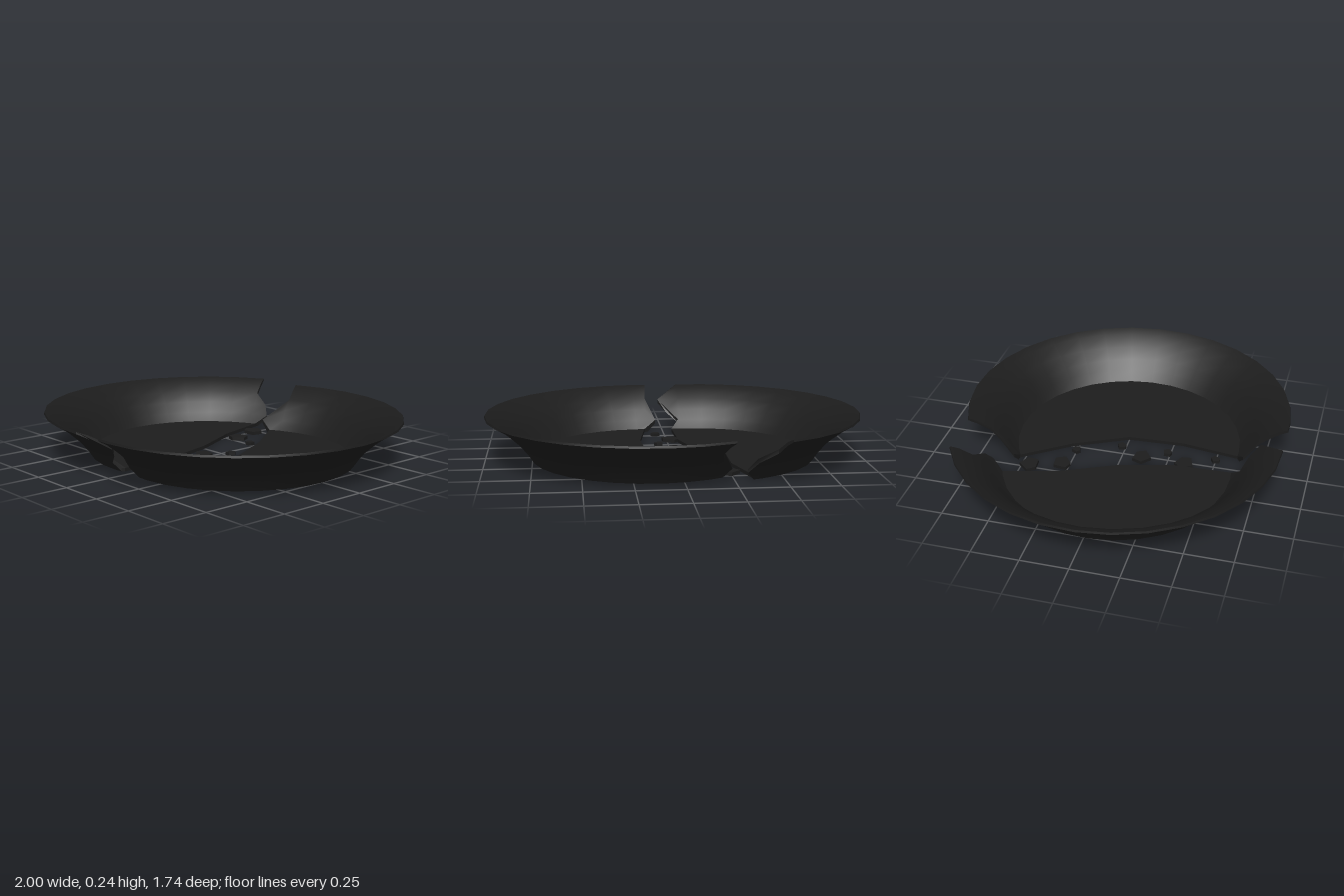
import * as THREE from 'three';
import { toCreasedNormals } from 'three/addons/utils/BufferGeometryUtils.js';

const STEP = Math.PI / 16;          // 32-sided plate
const OFFSET = -0.037;              // slight turn of the facets
const THICK = 0.018;
const BASE_R = 0.625;

// Closed wall section (radius, height): up the outside, down the inside
const WALL = [
  [0.625, 0], [0.655, 0.045], [0.70, 0.1], [0.755, 0.15], [0.82, 0.2], [0.871, 0.229], [0.868, 0.24],
  [0.825, 0.222], [0.755, 0.172], [0.695, 0.12], [0.655, 0.065], [0.61, THICK],
];

// Broken edges as [x, z] about each half's own centre.
// back and front cross the wall from base to rim, floor crosses the base from back to front.
const HALVES = [
  {
    name: 'rightHalf', x: -0.13, left: true,
    back: [[-0.22, -0.58], [-0.17, -0.64], [-0.32, -0.68], [-0.37, -0.78]],
    floor: [[-0.22, -0.58], [-0.14, -0.28], [-0.01, 0], [0.07, 0.3], [0.08, 0.61]],
    front: [[0.08, 0.61], [0.03, 0.65], [0.17, 0.72], [0.11, 0.78], [0.03, 0.85]],
  },
  {
    name: 'leftHalf', x: 0.13, left: false,
    back: [[-0.31, -0.53], [-0.38, -0.53], [-0.33, -0.6], [-0.31, -0.69], [-0.36, -0.79]],
    floor: [[-0.31, -0.53], [-0.13, -0.28], [0.01, 0], [0.025, 0.3], [-0.02, 0.61]],
    front: [[-0.02, 0.61], [-0.09, 0.65], [-0.03, 0.69], [-0.04, 0.85]],
  },
];

// Angle of a broken edge at radius r
function edgeAngle(points, r, left) {
  const polar = points.map(([x, z]) => {
    const a = Math.atan2(z, x);
    return [Math.hypot(x, z), left && a < 0 ? a + 2 * Math.PI : a];
  });
  if (r <= polar[0][0]) return polar[0][1];
  for (let i = 1; i < polar.length; i++) {
    const [r0, a0] = polar[i - 1], [r1, a1] = polar[i];
    if (r <= r1) return a0 + (a1 - a0) * (r - r0) / (r1 - r0);
  }
  return polar[polar.length - 1][1];
}

// Facet angles at radius r, clamped between the two broken edges
function ringAngles(half, r) {
  const a = edgeAngle(half.back, r, half.left), b = edgeAngle(half.front, r, half.left);
  const lo = Math.min(a, b), hi = Math.max(a, b);
  const angles = [lo];
  for (let k = -12; k <= 24; k++) angles.push(THREE.MathUtils.clamp(k * STEP + OFFSET, lo, hi));
  angles.push(hi);
  return angles;
}

// Sloping wall with capped ends
function wallGeometry(half) {
  const positions = [], index = [];
  const n = WALL.length;
  let cols = 0;
  for (const [r, y] of WALL) {
    const angles = ringAngles(half, r);
    cols = angles.length;
    for (const a of angles) positions.push(r * Math.cos(a), y, r * Math.sin(a));
  }
  for (let i = 0; i < n; i++) {
    const k = (i + 1) % n;
    for (let j = 0; j < cols - 1; j++) {
      const a = i * cols + j, b = k * cols + j;
      index.push(a, b, a + 1, b, b + 1, a + 1);
    }
  }
  const section = WALL.map(([r, y]) => new THREE.Vector2(r, y));
  for (const [a, b, c] of THREE.ShapeUtils.triangulateShape(section, [])) {
    index.push(a * cols, c * cols, b * cols);
    const e = cols - 1;
    index.push(a * cols + e, b * cols + e, c * cols + e);
  }
  const geo = new THREE.BufferGeometry();
  geo.setAttribute('position', new THREE.Float32BufferAttribute(positions, 3));
  geo.setIndex(index);
  return toCreasedNormals(geo, 0.7);
}

// Flat slab lying on the ground from an [x, z] outline
function slab(points, thickness) {
  const shape = new THREE.Shape(points.map(([x, z]) => new THREE.Vector2(x, z)));
  const geo = new THREE.ExtrudeGeometry(shape, { depth: thickness, bevelEnabled: false });
  return geo.rotateX(Math.PI / 2).translate(0, thickness, 0);
}

function floorGeometry(half) {
  let arc = ringAngles(half, BASE_R).filter((a, i, all) => i === 0 || a - all[i - 1] > 1e-5);
  if (!half.left) arc = arc.reverse();
  // the arc runs from the front end of the crack round to the back end
  const rim = arc.map((a) => [BASE_R * Math.cos(a), BASE_R * Math.sin(a)]);
  return slab([...half.floor, ...rim], THICK);
}

export function createModel() {
  const model = new THREE.Group();
  model.name = 'brokenPlate';
  const material = new THREE.MeshStandardMaterial({ color: 0x1c1c1c });
  const add = (parent, geometry, name) => {
    const mesh = new THREE.Mesh(geometry, material);
    mesh.name = name;
    parent.add(mesh);
    return mesh;
  };

  // Two halves of the plate, pulled apart
  for (const half of HALVES) {
    const group = new THREE.Group();
    group.name = half.name;
    group.position.x = half.x;
    add(group, wallGeometry(half), 'wall');
    add(group, floorGeometry(half), 'floor');
    model.add(group);
  }

  // Small shards in the gap: x, z, size, turn
  const outline = [[-1, 0.05], [-0.15, -0.9], [0.9, -0.35], [0.75, 0.65], [-0.45, 0.75]];
  const shards = [
    [-0.24, -0.455, 0.058, 0], [-0.185, -0.29, 0.055, 0.6], [-0.045, -0.25, 0.027, 0.2],
    [0.055, -0.02, 0.028, 0.9], [-0.02, 0.11, 0.056, 2.9], [0.055, 0.235, 0.028, 0.7],
    [-0.02, 0.345, 0.056, 2.6], [0.055, 0.5, 0.028, 1.0],
  ];
  for (const [x, z, size, turn] of shards) {
    const shard = add(model, slab(outline.map(([u, v]) => [u * size, v * size]), THICK), 'shard');
    shard.position.set(x, 0, z);
    shard.rotation.y = turn;
  }
  return model;
}
